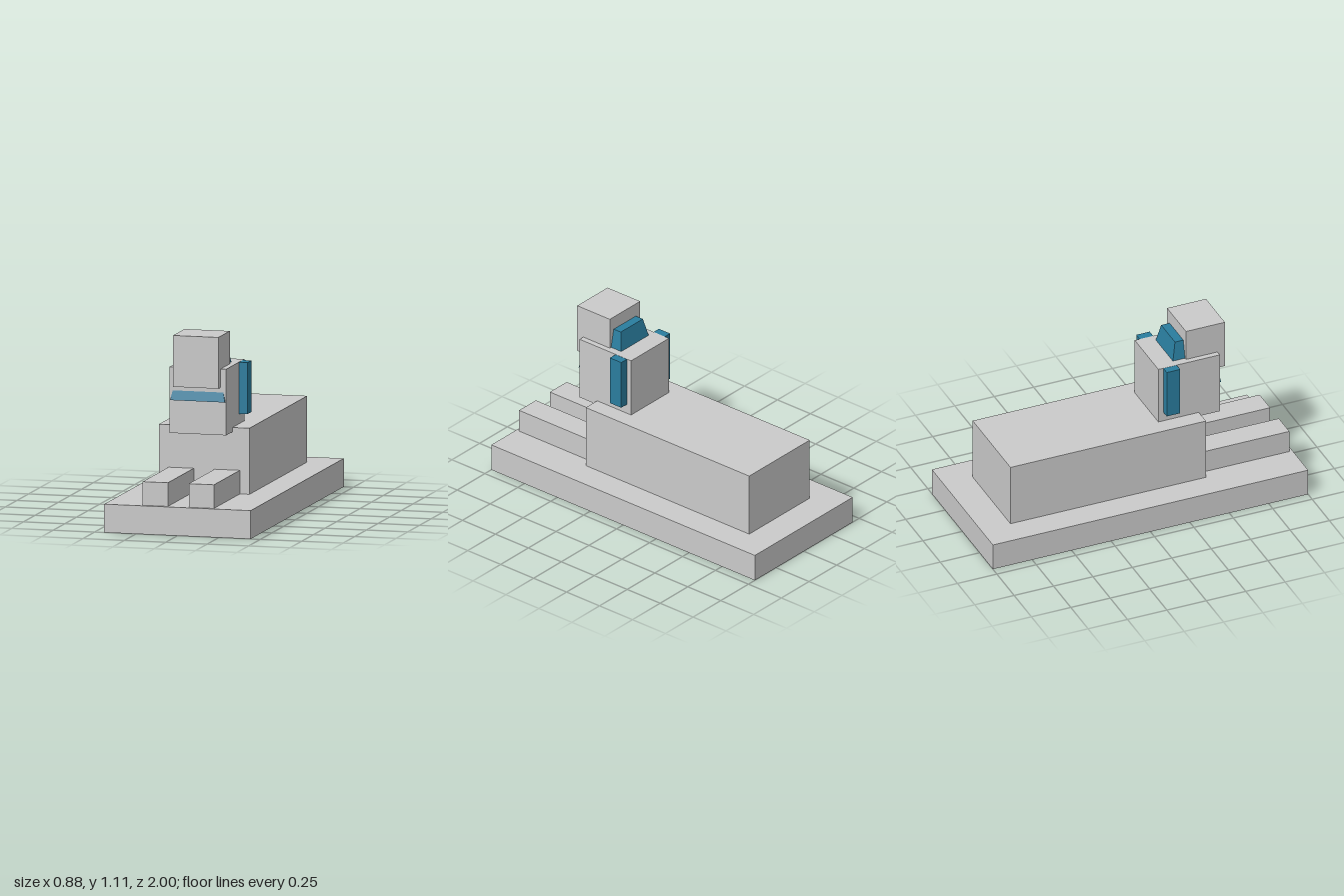
import * as THREE from 'three';

export function createModel() {
  const model = new THREE.Group();
  model.name = 'recliningStatue';
  const stone = new THREE.MeshStandardMaterial({ name: 'paleStone', color: 0xcacaca });
  const teal = new THREE.MeshStandardMaterial({ name: 'tealCloth', color: 0x2a7d9e });

  // Box given by its lower and upper limits on each axis
  function block(name, material, [x0, x1], [y0, y1], [z0, z1]) {
    const mesh = new THREE.Mesh(new THREE.BoxGeometry(x1 - x0, y1 - y0, z1 - z0), material);
    mesh.position.set((x0 + x1) / 2, (y0 + y1) / 2, (z0 + z1) / 2);
    mesh.name = name;
    model.add(mesh);
  }

  block('plinth', stone, [-0.442, 0.442], [0, 0.167], [-1, 1]);
  block('body', stone, [-0.274, 0.273], [0.167, 0.556], [-0.815, 0.425]);
  block('chest', stone, [-0.172, 0.17], [0.53, 0.919], [0.168, 0.558]);
  block('head', stone, [-0.138, 0.136], [0.81, 1.112], [0.358, 0.605]);

  // Front legs and the hanging sides of the headdress
  for (const [side, s] of [['left', 1], ['right', -1]]) {
    const span = (a, b) => (s > 0 ? [a, b] : [-b, -a]);
    block(side + 'FrontLeg', stone, span(0.063, 0.215), [0.167, 0.306], [0.4, 0.98]);
    block(side + 'HeaddressFlap', teal, span(0.16, 0.221), [0.615, 0.918], [0.2, 0.285]);
  }

  // Square tapered headdress: shows behind the head and as a collar on the chest
  const taper = new THREE.CylinderGeometry(0.1 * Math.SQRT2, 0.165 * Math.SQRT2, 0.305, 4, 1);
  taper.rotateY(Math.PI / 4);
  const flat = taper.toNonIndexed();
  flat.computeVertexNormals();
  const headdress = new THREE.Mesh(flat, teal);
  headdress.name = 'headdress';
  headdress.position.set(0, 0.8775, 0.405);
  model.add(headdress);

  return model;
}
